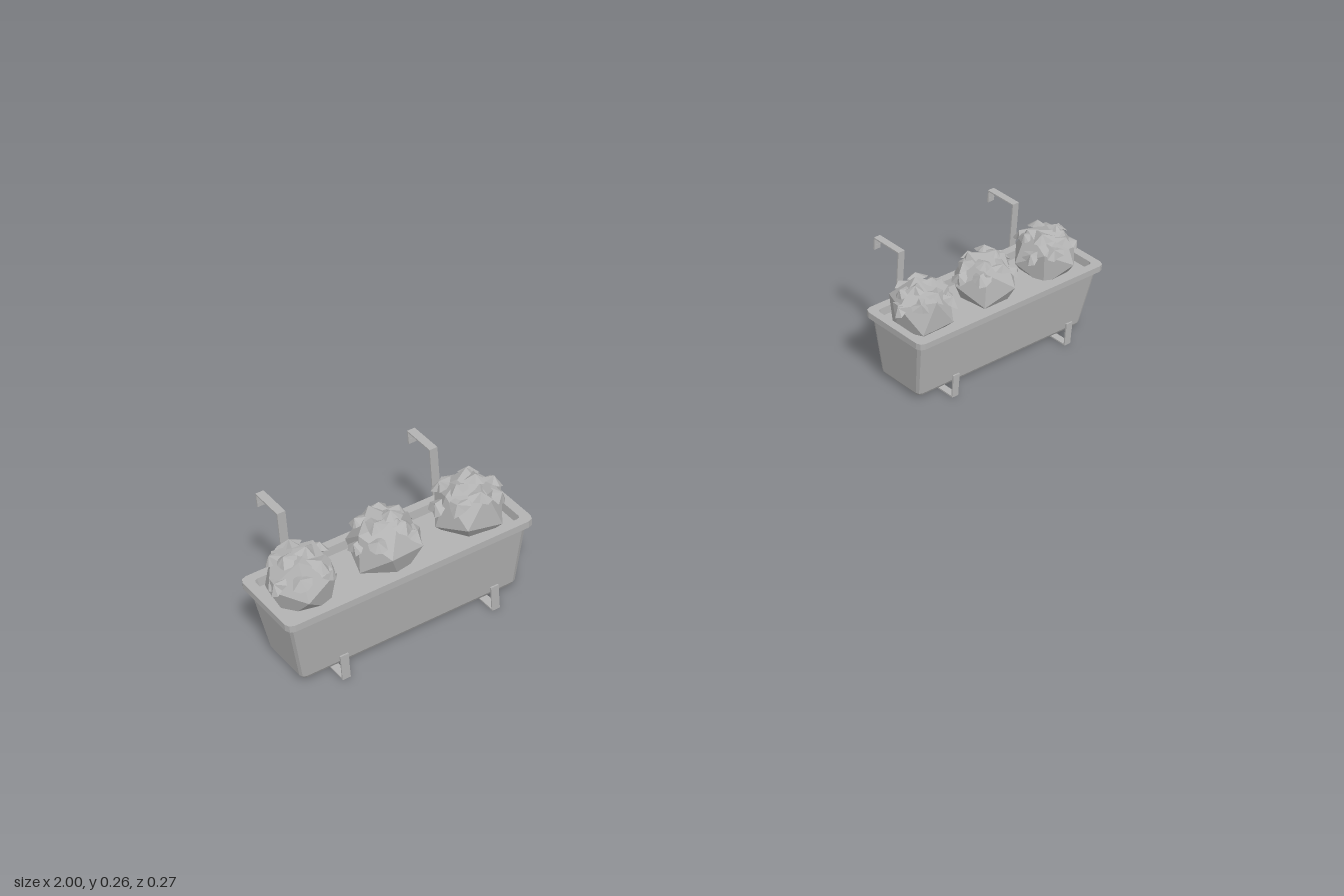
import * as THREE from 'three';
import { mergeGeometries } from 'three/addons/utils/BufferGeometryUtils.js';

const grey = new THREE.MeshStandardMaterial({ color: 0xb2b2b2, flatShading: true });
grey.name = 'plain grey';

const BOX_Z = 0.038;

function mesh(name, geometry) {
  const m = new THREE.Mesh(geometry, grey);
  m.name = name;
  return m;
}

// Rounded rectangle cross-section, running counter-clockwise seen from below
function ring([hx, hz, y, r]) {
  const pts = [];
  [[1, 1], [-1, 1], [-1, -1], [1, -1]].forEach(([sx, sz], c) => {
    for (let i = 0; i <= 2; i++) {
      const a = (c + i / 2) * Math.PI / 2;
      pts.push([sx * (hx - r) + r * Math.cos(a), y, sz * (hz - r) + r * Math.sin(a)]);
    }
  });
  return pts;
}

// Skin a series of cross-sections, closing both ends with fans
function loft(sections) {
  const rings = sections.map(ring), n = rings[0].length, pos = [], idx = [];
  rings.forEach(r => r.forEach(p => pos.push(...p)));
  for (let s = 0; s < rings.length - 1; s++) {
    for (let i = 0; i < n; i++) {
      const a = s * n + i, b = s * n + (i + 1) % n;
      idx.push(a, a + n, b, b, a + n, b + n);
    }
  }
  const last = (rings.length - 1) * n;
  for (let i = 1; i < n - 1; i++) idx.push(0, i, i + 1, last, last + i + 1, last + i);
  const g = new THREE.BufferGeometry();
  g.setAttribute('position', new THREE.Float32BufferAttribute(pos, 3));
  g.setIndex(idx);
  const flat = g.toNonIndexed();
  flat.computeVertexNormals();
  return flat;
}

// Small seeded number source
function seeded(seed) {
  return () => {
    seed = (seed * 16807) % 2147483647;
    return seed / 2147483647;
  };
}

// Shallow five-pointed blossom
function blossomGeometry(radius) {
  const g = new THREE.ConeGeometry(radius, 0.013, 10, 1).toNonIndexed();
  const p = g.attributes.position;
  for (let i = 0; i < p.count; i++) {
    const x = p.getX(i), z = p.getZ(i);
    if (Math.hypot(x, z) < 1e-4) continue;
    const k = Math.round(Math.atan2(z, x) / (Math.PI / 5));
    const s = k % 2 ? 0.66 : 1;
    p.setXYZ(i, x * s, p.getY(i) + (k % 2 ? 0 : 0.003), z * s);
  }
  g.computeVertexNormals();
  return g;
}

function plant(seed) {
  const rand = seeded(seed * 7919 + 13), group = new THREE.Group();
  group.name = 'plant';
  const bush = new THREE.IcosahedronGeometry(0.073, 0);
  bush.rotateX(rand() * 2).rotateY(rand() * 6).rotateZ(rand());
  group.add(mesh('foliage', bush));

  // Blossoms spread in a spiral over the upper half
  const up = new THREE.Vector3(0, 1, 0), parts = [], count = 11;
  for (let i = 0; i < count; i++) {
    const y = 0.98 - 0.72 * (i + rand() * 0.5) / count;
    const a = i * 2.4 + rand() * 0.7, r = Math.sqrt(1 - y * y);
    const dir = new THREE.Vector3(r * Math.cos(a), y, r * Math.sin(a));
    const lean = dir.clone().lerp(up, 0.4).normalize();
    const g = blossomGeometry(0.02 + rand() * 0.006);
    g.rotateY(rand() * 6);
    g.applyQuaternion(new THREE.Quaternion().setFromUnitVectors(up, lean));
    g.translate(dir.x * 0.068, dir.y * 0.068, dir.z * 0.068);
    parts.push(g);
  }
  group.add(mesh('blossoms', mergeGeometries(parts)));
  return group;
}

// Flat metal strap: front lip, shelf, back upright and railing hook
function bracket() {
  const path = [[0.132, 0.053], [0.132, 0.0015], [-0.055, 0.0015],
    [-0.055, 0.261], [-0.1305, 0.261], [-0.1305, 0.235]];
  const t = 0.003, parts = [];
  for (let i = 0; i < path.length - 1; i++) {
    const [z0, y0] = path[i], [z1, y1] = path[i + 1];
    const g = new THREE.BoxGeometry(0.017, Math.abs(y1 - y0) + t, Math.abs(z1 - z0) + t);
    parts.push(g.translate(0, (y0 + y1) / 2, (z0 + z1) / 2));
  }
  // Thickened ends
  parts.push(new THREE.BoxGeometry(0.017, 0.018, 0.004).translate(0, 0.045, 0.132));
  parts.push(new THREE.BoxGeometry(0.017, 0.01, 0.004).translate(0, 0.239, -0.1305));
  return mesh('bracket', mergeGeometries(parts));
}

function planter(seed, plantXs) {
  const group = new THREE.Group();
  group.name = 'planter';

  // Tapered trough with overhanging rim and sunken inside
  const trough = mesh('trough', loft([
    [0.228, 0.057, 0.007, 0.008],
    [0.233, 0.061, 0.014, 0.01],
    [0.252, 0.079, 0.147, 0.012],
    [0.262, 0.088, 0.147, 0.014],
    [0.262, 0.088, 0.161, 0.014],
    [0.243, 0.069, 0.161, 0.008],
    [0.241, 0.067, 0.142, 0.008],
  ]));
  trough.position.z = BOX_Z;
  group.add(trough);

  const soil = mesh('soil', new THREE.BoxGeometry(0.478, 0.006, 0.13));
  soil.position.set(0, 0.142, BOX_Z);
  group.add(soil);

  plantXs.forEach((x, i) => {
    const p = plant(seed + i);
    p.position.set(x, 0.176, 0.034);
    group.add(p);
  });

  for (const side of [-1, 1]) {
    const b = bracket();
    b.position.x = side * 0.162;
    group.add(b);
  }
  return group;
}

export function createModel() {
  const model = new THREE.Group();
  model.name = 'hangingPlanters';
  const right = planter(3, [-0.182, -0.007, 0.176]);
  right.position.x = -0.738;
  const left = planter(11, [-0.18, -0.002, 0.172]);
  left.position.x = 0.738;
  model.add(right, left);
  return model;
}
